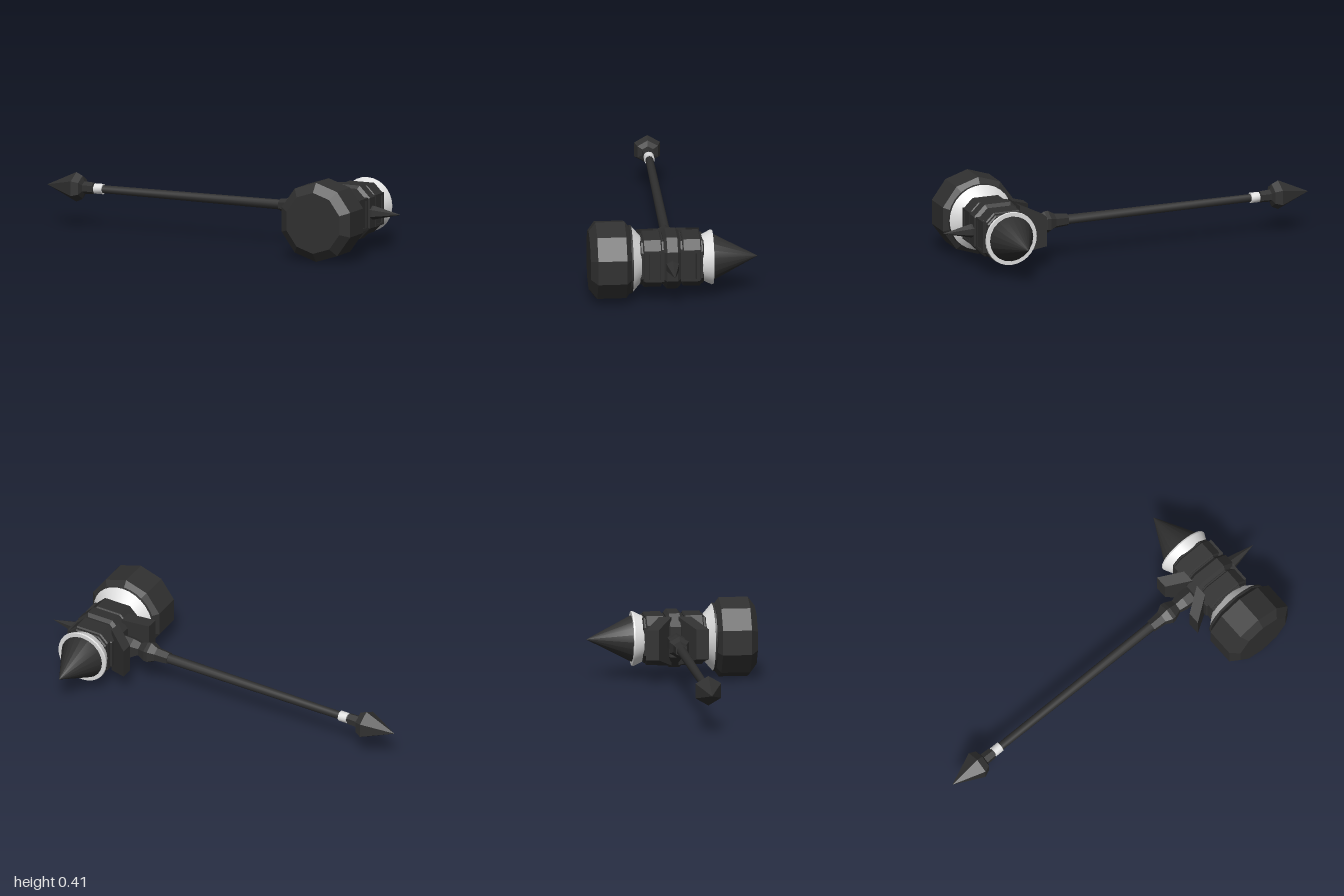
import * as THREE from 'three';
import { toCreasedNormals } from 'three/addons/utils/BufferGeometryUtils.js';

const CX = 0.71, CY = 0.206, CZ = 0.012; // where the haft axis crosses the head axis

export function createModel() {
  const group = new THREE.Group();
  const iron = new THREE.MeshStandardMaterial({ color: 0x303030 });
  iron.name = 'dark iron';
  const silver = new THREE.MeshStandardMaterial({ color: 0xe0e0e0 });
  silver.name = 'pale silver';

  function add(name, geometry, material = iron, crease = 0.1) {
    const mesh = new THREE.Mesh(toCreasedNormals(geometry, crease), material);
    mesh.name = name;
    group.add(mesh);
    return mesh;
  }
  const lathe = (profile, sides, start = 0) => new THREE.LatheGeometry(
    profile.map(([r, t]) => new THREE.Vector2(r, t)), sides, start);
  // Turned parts: profile is [radius, position along the axis], ascending
  const alongX = (name, profile, sides, material, crease) =>
    add(name, lathe(profile, sides, Math.PI / 2).rotateZ(-Math.PI / 2).translate(0, CY, CZ), material, crease);
  const alongZ = (name, profile, sides, material, crease) =>
    add(name, lathe(profile, sides).rotateX(Math.PI / 2).translate(CX, CY, 0), material, crease);

  // Rectangle with cut corners, extruded along z
  function block(name, hx, hy, cut, z0, z1, bevel = 0.006) {
    const x = hx - bevel, y = hy - bevel;
    const shape = new THREE.Shape([
      [x, -y + cut], [x, y - cut], [x - cut, y], [-x + cut, y],
      [-x, y - cut], [-x, -y + cut], [-x + cut, -y], [x - cut, -y],
    ].map(([a, b]) => new THREE.Vector2(a, b)));
    const geo = new THREE.ExtrudeGeometry(shape, {
      depth: z1 - z0 - 2 * bevel, bevelThickness: bevel, bevelSize: bevel, bevelSegments: 1,
    });
    add(name, geo.translate(CX, CY, z0 + bevel));
  }

  // Haft, pommel and collars
  alongX('haft', [[0, -0.8], [0.02, -0.8], [0.026, 0.36], [0, 0.36]], 10, iron, 0.8);
  alongX('pommel', [[0, -1], [0.076, -0.835], [0.06, -0.8], [0.032, -0.79], [0.03, -0.735], [0, -0.735]], 6);
  alongX('haftRing', [[0, -0.728], [0.027, -0.728], [0.027, -0.682], [0, -0.682]], 12, silver, 0.8);
  alongX('neck', [[0, 0.32], [0.032, 0.32], [0.038, 0.39], [0.058, 0.425], [0.056, 0.445],
    [0.038, 0.485], [0.048, 0.53], [0.05, 0.6], [0, 0.6]], 6);
  alongX('topSpike', [[0, 0.8], [0.04, 0.8], [0.035, 0.85], [0.026, 0.89], [0, 1]], 6);

  // Striking drum
  alongZ('drum', [[0, 0.2], [0.16, 0.215], [0.204, 0.247], [0.204, 0.395], [0.157, 0.43], [0, 0.43]], 10);

  // Head core, binding band and clamps
  block('core', 0.11, 0.115, 0.04, -0.15, 0.175);
  block('centreBand', 0.13, 0.138, 0.05, CZ - 0.043, CZ + 0.043, 0.016);

  for (const s of [-1, 1]) {
    const span = (a, b) => [CZ + s * a, CZ + s * b].sort((p, q) => p - q);
    block('clamp', 0.113, 0.126, 0.04, ...span(0.052, 0.148));
    block('clampRib', 0.122, 0.122, 0.045, ...span(0.055, 0.122));

    // Open frame on the far side of each clamp
    const frame = new THREE.Shape([[-0.048, -0.082], [0.048, -0.082], [0.048, 0.082], [-0.048, 0.082]]
      .map(p => new THREE.Vector2(...p)));
    frame.holes.push(new THREE.Path([[-0.03, -0.07], [-0.03, 0.07], [0.03, 0.07], [0.03, -0.07]]
      .map(p => new THREE.Vector2(...p))));
    const frameGeo = new THREE.ExtrudeGeometry(frame, { depth: 0.03, bevelEnabled: false });
    add('clampFrame', frameGeo.rotateY(Math.PI / 2).translate(CX + 0.096, CY, CZ + s * 0.09));

    // Swept fins beside the neck: slanted plates narrowing to the tip
    const fin = new THREE.BoxGeometry(0.115, 0.25, 0.065);
    const pos = fin.attributes.position;
    for (let i = 0; i < pos.count; i++) {
      const tip = pos.getX(i) < 0;
      if (tip) pos.setY(i, pos.getY(i) * 0.62);
      pos.setZ(i, pos.getZ(i) + s * (tip ? 0.128 : 0.05));
    }
    add('fin', fin.translate(0.553, CY, CZ));
  }

  // Flared silver rings with dark lips
  alongZ('frontRing', [[0, 0.165], [0.118, 0.167], [0.171, 0.213], [0, 0.213]], 28, silver, 0.5);
  alongZ('frontRingLip', [[0, 0.211], [0.173, 0.213], [0.175, 0.222], [0.16, 0.23], [0, 0.23]], 28, iron, 0.5);
  alongZ('rearRing', [[0, -0.2], [0.138, -0.2], [0.14, -0.192], [0.117, -0.144], [0, -0.144]], 28, silver, 0.4);

  // Rear spike
  alongZ('rearSpike', [[0, -0.43], [0.118, -0.202], [0.118, -0.195], [0, -0.195]], 20, iron, 0.5);

  return group;
}
